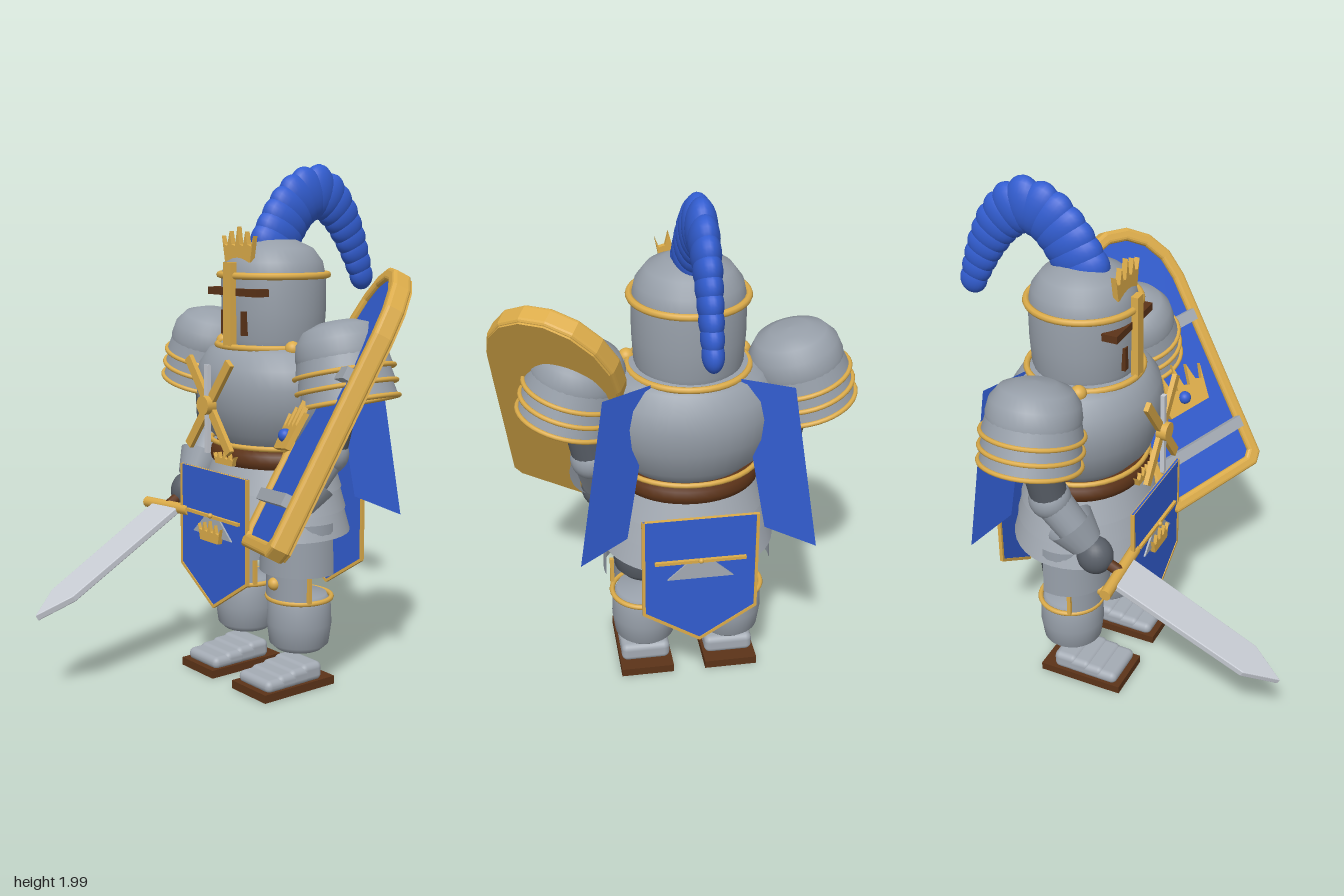
import * as THREE from 'three';
import { RoundedBoxGeometry } from 'three/addons/geometries/RoundedBoxGeometry.js';

const mat = (name, color) => {
  const m = new THREE.MeshStandardMaterial({ color, side: THREE.DoubleSide });
  m.name = name;
  return m;
};
const V = (x, y, z) => new THREE.Vector3(x, y, z);

export function createModel() {
  const steel = mat('steel', 0x979fa9), lightSteel = mat('light steel', 0xa4abb4), darkSteel = mat('dark steel', 0x5a6069);
  const silver = mat('silver', 0xc8ccd4), gold = mat('gold', 0xdcac4a);
  const blue = mat('blue', 0x325dd0), brown = mat('brown', 0x5c3318);

  const root = new THREE.Group();
  root.name = 'knight';
  const group = (parent, name, x = 0, y = 0, z = 0) => {
    const g = new THREE.Group();
    g.name = name;
    g.position.set(x, y, z);
    parent.add(g);
    return g;
  };
  const add = (parent, name, geo, m, x = 0, y = 0, z = 0, rz = 0) => {
    const mesh = new THREE.Mesh(geo, m);
    mesh.name = name;
    mesh.position.set(x, y, z);
    mesh.rotation.z = rz;
    parent.add(mesh);
    return mesh;
  };
  const box = (w, h, d) => new THREE.BoxGeometry(w, h, d);
  const ball = (rx, ry = rx, rz = rx) => new THREE.SphereGeometry(1, 24, 16).scale(rx, ry, rz);
  const lathe = (pts, sz = 1) =>
    new THREE.LatheGeometry(pts.map(p => new THREE.Vector2(...p)), 40).scale(1, 1, sz);
  const ring = (r, tube, sz = 1) => new THREE.TorusGeometry(r, tube, 8, 40).rotateX(Math.PI / 2).scale(1, 1, sz);
  const shape = pts => new THREE.Shape(pts.map(p => new THREE.Vector2(...p)));
  const slab = (s, depth, bevel = 0) => new THREE.ExtrudeGeometry(s, {
    depth, bevelEnabled: bevel > 0, bevelSize: bevel, bevelThickness: bevel, bevelSegments: 3 });
  // tapered limb between two points
  const limb = (parent, name, a, b, ra, rb, m, open = false) => {
    const mesh = add(parent, name, new THREE.CylinderGeometry(rb, ra, a.distanceTo(b), 20, 1, open), m);
    mesh.position.copy(a).lerp(b, 0.5);
    mesh.quaternion.setFromUnitVectors(V(0, 1, 0), b.clone().sub(a).normalize());
  };
  // orient a group from an approximate x axis and an exact y axis
  const orient = (g, xa, ya) => {
    const y = ya.clone().normalize(), z = xa.clone().cross(y).normalize();
    g.quaternion.setFromRotationMatrix(new THREE.Matrix4().makeBasis(y.clone().cross(z), y, z));
  };
  // five-pointed crown, standing on its base line
  const crown = (w, h) => {
    const p = [[-w * 0.4, 0], [w * 0.4, 0]];
    for (let i = 4; i >= 0; i--) {
      const x = (i - 2) * w * 0.25, top = h * (1 - 0.13 * Math.abs(i - 2));
      if (i < 4) p.push([x + w * 0.06, h * 0.5]);
      p.push([x, top]);
      if (i > 0) p.push([x - w * 0.08, h * 0.45]);
    }
    return slab(shape(p), 0.02);
  };

  const body = group(root, 'body', -0.045, 0, -0.2);

  // torso, belt and skirt
  add(body, 'torso', lathe([[0, 0.93], [0.22, 0.94], [0.285, 1.0], [0.322, 1.1], [0.33, 1.18],
    [0.315, 1.25], [0.27, 1.31], [0.21, 1.335], [0, 1.335]], 0.85), steel);
  add(body, 'neckRing', ring(0.215, 0.012), gold, 0, 1.325);
  add(body, 'waistRing', ring(0.262, 0.01, 0.87), gold, 0, 0.955);
  add(body, 'belt', lathe([[0.2, 0.855], [0.24, 0.86], [0.258, 0.88], [0.264, 0.9], [0.258, 0.925], [0.24, 0.942], [0.2, 0.945]], 0.88), brown);
  add(body, 'buckle', crown(0.13, 0.05), gold, 0, 0.88, 0.222);
  [[0.25, 0.285, 0.83], [0.272, 0.303, 0.75], [0.292, 0.322, 0.66]].forEach(([a, b, y]) =>
    add(body, 'skirtPlate', new THREE.CylinderGeometry(a, b, 0.1, 40, 1, true).scale(1, 1, 0.89), lightSteel, 0, y));

  // crossed chest ornament
  for (const s of [-1, 1]) add(body, 'chestCrossBar', box(0.036, 0.42, 0.018), gold, 0, 1.115, 0.308, s * 0.65);
  add(body, 'chestBlade', box(0.02, 0.33, 0.016), silver, 0, 1.1, 0.315);
  add(body, 'chestBoss', new THREE.CylinderGeometry(0.036, 0.036, 0.04, 20).rotateX(Math.PI / 2), gold, 0, 1.115, 0.32);

  // front and back tabards
  const clothPts = k => [[-0.21 + k, 0.86], [-0.21 + k, 0.46 + k * 0.6], [0, 0.325 + k * 1.2], [0.21 - k, 0.46 + k * 0.6], [0.21 - k, 0.86]];
  for (const [name, z, turn] of [['frontTabard', 0.287, 0], ['backTabard', -0.29, Math.PI]]) {
    const t = group(body, name, 0, 0, z);
    t.rotation.y = turn;
    add(t, 'cloth', slab(shape(clothPts(0.003)), 0.008), blue, 0, 0, -0.004);
    const border = shape(clothPts(0));
    border.holes.push(new THREE.Path(clothPts(0.011).map(p => new THREE.Vector2(...p))));
    add(t, 'border', slab(border, 0.014), gold, 0, 0, -0.007);
    add(t, 'crossBand', box(0.33, 0.012, 0.012), gold, 0, 0.685, 0.01);
    add(t, 'crossBandKnob', ball(0.01), gold, 0, 0.69, 0.018);
    add(t, 'badge', slab(shape([[-0.12, 0.61], [0.12, 0.61], [0.045, 0.68], [-0.045, 0.68]]), 0.008), lightSteel, 0, 0, 0.003);
    if (!turn) add(t, 'badgeCrown', crown(0.14, 0.08), gold, 0, 0.59, 0.005);
  }

  // helmet
  const head = group(body, 'head');
  add(head, 'helmet', lathe([[0.18, 1.31], [0.194, 1.35], [0.2, 1.45], [0.2, 1.58], [0.187, 1.64],
    [0.15, 1.69], [0.085, 1.72], [0, 1.728]]), steel);
  add(head, 'helmetRing', ring(0.206, 0.013), gold, 0, 1.59);
  add(head, 'eyeSlot', box(0.295, 0.028, 0.06), brown, 0, 1.53, 0.172);
  add(head, 'noseGuard', box(0.046, 0.31, 0.028), gold, 0, 1.485, 0.21);
  for (const s of [-1, 1]) add(head, 'breathSlit', box(0.024, 0.09, 0.02), brown, s * 0.06, 1.415, 0.187);
  add(head, 'browCrown', crown(0.19, 0.13), gold, 0, 1.64, 0.155);

  // plume of overlapping flattened balls
  const curve = new THREE.CatmullRomCurve3([[0, 1.7], [-0.06, 1.8], [-0.13, 1.872], [-0.22, 1.902], [-0.31, 1.845],
    [-0.38, 1.745], [-0.43, 1.64], [-0.455, 1.575]].map(([z, y]) => V(0, y, z)));
  const plume = group(head, 'plume');
  for (let i = 0; i < 15; i++) {
    const t = i / 14, thin = Math.max(0, t - 0.4);
    const b = add(plume, 'plumeSegment', ball(0.066 - 0.03 * t, 0.088 - 0.03 * t, 0.108 - 0.09 * thin), blue);
    b.position.copy(curve.getPointAt(t));
    const d = curve.getTangentAt(t);
    b.rotation.x = Math.atan2(d.z, d.y);
  }

  for (const s of [-1, 1]) {
    add(body, 'collarStud', ball(0.03), gold, s * 0.21, 1.325, 0.08);

    // cape panel
    const panel = new THREE.BufferGeometry();
    panel.setAttribute('position', new THREE.Float32BufferAttribute([s * 0.15, 1.33, -0.16, s * 0.33, 1.32, -0.238,
      s * 0.425, 0.69, -0.28, s * 0.25, 0.74, -0.205], 3));
    panel.setIndex([0, 1, 2, 0, 2, 3]);
    panel.computeVertexNormals();
    add(body, 'capePanel', panel, blue);

    // tiered shoulder guard
    const p = group(body, 'shoulderGuard', s * 0.4, 1.27, 0);
    p.rotation.z = s * 0.25;
    add(p, 'dome', lathe([[0.166, 0.02], [0.17, 0.05], [0.16, 0.1], [0.128, 0.143], [0.07, 0.166], [0, 0.17]]), steel);
    for (let i = 0; i < 3; i++) {
      const y = 0.02 - i * 0.055;
      add(p, 'band', new THREE.CylinderGeometry(0.167, 0.18, 0.06, 32, 1, true), steel, 0, y - 0.01);
      add(p, 'bandTrim', ring(0.182, 0.009), gold, 0, y - 0.038);
    }

    // arm
    const shoulder = V(s * 0.4, 1.22, 0), elbow = V(s * 0.35, 0.95, 0.025), wrist = V(s * 0.32, 0.77, 0.15);
    limb(body, 'upperArm', shoulder, elbow, 0.072, 0.068, darkSteel);
    add(body, 'elbow', ball(0.078), steel, ...elbow);
    limb(body, 'forearm', elbow, wrist, 0.07, 0.06, steel);
    limb(body, 'cuff', elbow.clone().lerp(wrist, 0.55), wrist, 0.095, 0.066, steel, true);
    add(body, 'hand', ball(0.064, 0.075, 0.07), darkSteel, s * 0.315, 0.72, 0.185);

    // leg
    const leg = group(body, 'leg', s * 0.165);
    add(leg, 'thigh', lathe([[0, 0.45], [0.08, 0.455], [0.112, 0.49], [0.118, 0.56], [0.11, 0.7], [0, 0.72]]), darkSteel);
    add(leg, 'hipPlate', new THREE.CylinderGeometry(0.15, 0.154, 0.2, 28, 1, true, -1.85, 3.7), steel, 0, 0.57);
    add(leg, 'shin', lathe([[0, 0.155], [0.09, 0.157], [0.115, 0.18], [0.126, 0.26], [0.122, 0.34], [0.105, 0.375], [0, 0.385]]), steel);
    add(leg, 'shinRing', ring(0.124, 0.01), gold, 0, 0.362);
    add(leg, 'kneePlate', new THREE.CylinderGeometry(0.128, 0.128, 0.11, 20, 1, true, -1.15, 2.3), steel, 0, 0.42);
    for (const e of [-1, 1]) add(leg, 'kneeTrim', box(0.015, 0.11, 0.015), gold, e * 0.118, 0.42, 0.052);
    add(leg, 'kneeStud', ball(0.025), gold, 0, 0.43, 0.125);
    add(leg, 'sole', box(0.205, 0.032, 0.345), brown, 0, 0.028, 0.078);
    for (let i = 0; i < 4; i++)
      add(leg, 'footPlate', new RoundedBoxGeometry(0.19, 0.05 + i * 0.008, 0.1, 3, 0.024), lightSteel, 0, 0.06 + i * 0.005, 0.18 - i * 0.058);
  }

  // sword, blade along local y
  const sword = group(root, 'sword', -0.355, 0.67, 0.085);
  orient(sword, V(1, 0.03, 0), V(0.04, -0.33, 0.615));
  add(sword, 'blade', slab(shape([[-0.077, 0.01], [0.077, 0.01], [0.07, 0.57], [0, 0.7], [-0.07, 0.57]]), 0.018, 0.004), silver, 0, 0, -0.009);
  add(sword, 'guard', new THREE.CylinderGeometry(0.022, 0.022, 0.28, 12).rotateZ(Math.PI / 2), gold);
  add(sword, 'grip', new THREE.CylinderGeometry(0.022, 0.022, 0.2, 12), brown, 0, -0.1);
  add(sword, 'pommel', ball(0.032), gold, 0, -0.21);

  // shield, height along local y, facing local z
  const shield = group(root, 'shield', 0.357, 0.623, 0.155);
  orient(shield, V(0.87, 0.1, 0.48), V(0.09, 0.86, -0.48));
  const outline = k => {
    const w = 0.25 - k, p = [[-w + 0.03, k], [w - 0.03, k], [w, 0.03 + k]];
    for (let i = 0; i <= 8; i++) {
      const a = i / 8 * Math.PI;
      p.push([w * Math.cos(a), 0.84 + (0.285 - k) * Math.sin(a)]);
    }
    p.push([-w, 0.03 + k]);
    return p;
  };
  add(shield, 'backPlate', slab(shape(outline(0.01)), 0.02), gold, 0, 0, -0.016);
  add(shield, 'face', slab(shape(outline(0.03)), 0.03), blue, 0, 0, 0.015);
  const rim = shape(outline(0.014));
  rim.holes.push(new THREE.Path(outline(0.036).map(p => new THREE.Vector2(...p))));
  add(shield, 'rim', slab(rim, 0.045, 0.014), gold, 0, 0, 0.004);
  for (const y of [0.2, 0.68]) add(shield, 'strap', box(0.42, 0.045, 0.03), lightSteel, 0, y, 0.07);
  add(shield, 'emblemCrown', crown(0.24, 0.19), gold, -0.01, 0.365, 0.11);
  add(shield, 'emblemGem', ball(0.025), blue, -0.015, 0.415, 0.13);

  return root;
}
